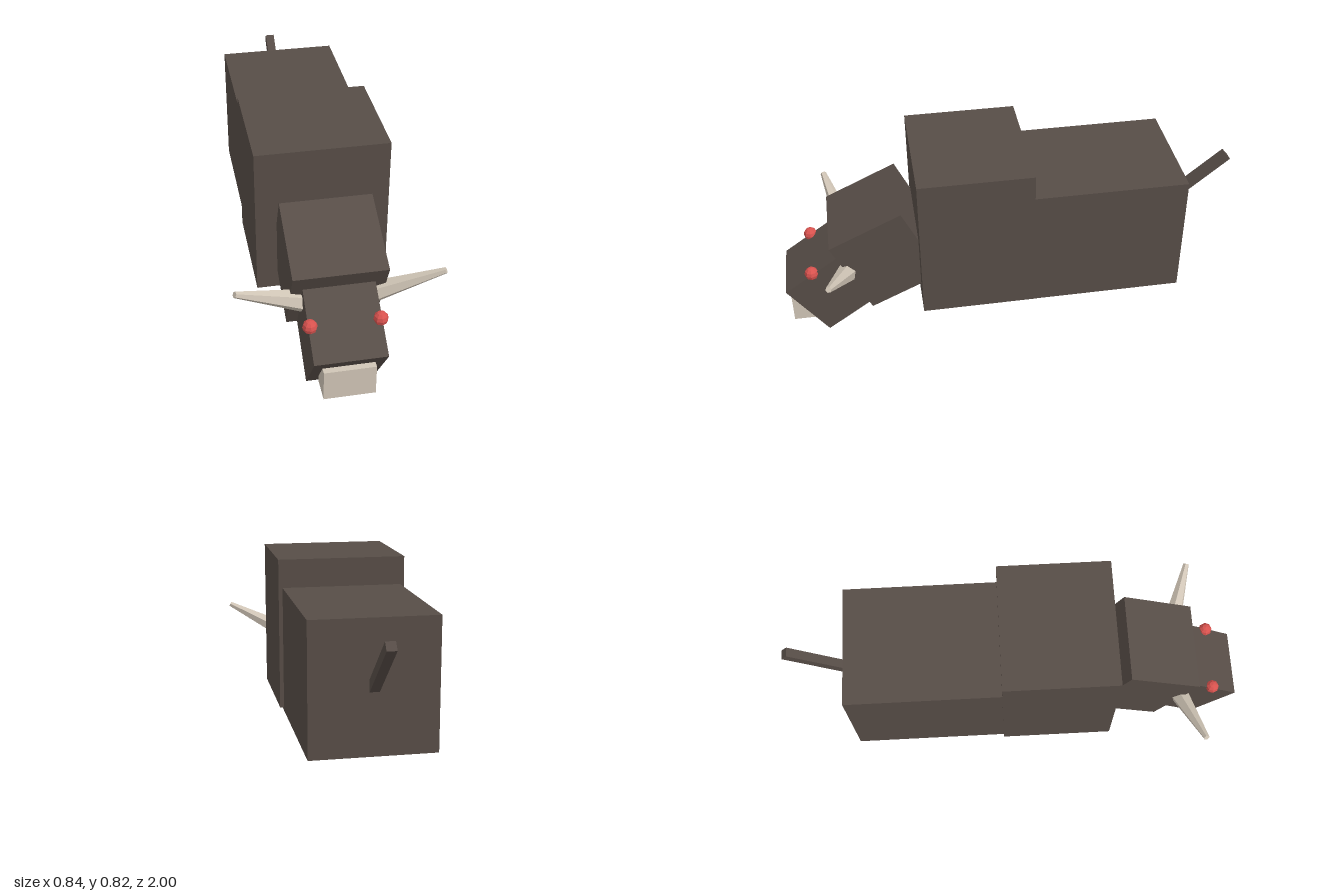
import * as THREE from 'three';

const flat = (name, color) => {
  const m = new THREE.MeshStandardMaterial({ color });
  m.name = name;
  m.flatShading = true;
  return m;
};

export function createModel() {
  const group = new THREE.Group();
  const hide = flat('brown hide', 0x574d47);
  const bone = flat('pale bone', 0xd0c5b6);
  const red = flat('red eye', 0xd9534f);

  const add = (name, geometry, material, x, y, z, tilt = 0) => {
    const mesh = new THREE.Mesh(geometry, material);
    mesh.name = name;
    mesh.position.set(x, y, z);
    mesh.rotation.x = THREE.MathUtils.degToRad(tilt);
    group.add(mesh);
    return mesh;
  };
  const box = (name, material, size, y, z, tilt) =>
    add(name, new THREE.BoxGeometry(...size), material, 0, y, z, tilt);

  // Body blocks, running from the rump to the muzzle
  box('body', hide, [0.52, 0.55, 1.04], 0.425, -0.21);
  box('shoulderHump', hide, [0.554, 0.658, 0.485], 0.494, 0.1725);
  box('neck', hide, [0.38, 0.376, 0.343], 0.3915, 0.5575, 25);
  box('head', hide, [0.29, 0.288, 0.36], 0.225, 0.77, 35);
  box('muzzle', bone, [0.208, 0.136, 0.098], 0.112, 0.936);

  // Tail, rising backwards
  box('tail', hide, [0.04, 0.04, 0.4], 0.522, -0.833, 40);

  // Tapered horns and faceted eyes on both sides
  const up = new THREE.Vector3(0, 1, 0);
  for (const [side, s] of [['left', 1], ['right', -1]]) {
    const base = new THREE.Vector3(s * 0.1, 0.307, 0.705);
    const tip = new THREE.Vector3(s * 0.413, 0.464, 0.802);
    const axis = tip.clone().sub(base);
    const mid = base.clone().add(tip).multiplyScalar(0.5);
    const horn = add(side + 'Horn',
      new THREE.CylinderGeometry(0.013, 0.052, axis.length(), 6), bone, mid.x, mid.y, mid.z);
    horn.quaternion.setFromUnitVectors(up, axis.normalize());
    add(side + 'Eye', new THREE.SphereGeometry(0.03, 8, 6), red, s * 0.139, 0.33, 0.88);
  }
  return group;
}
